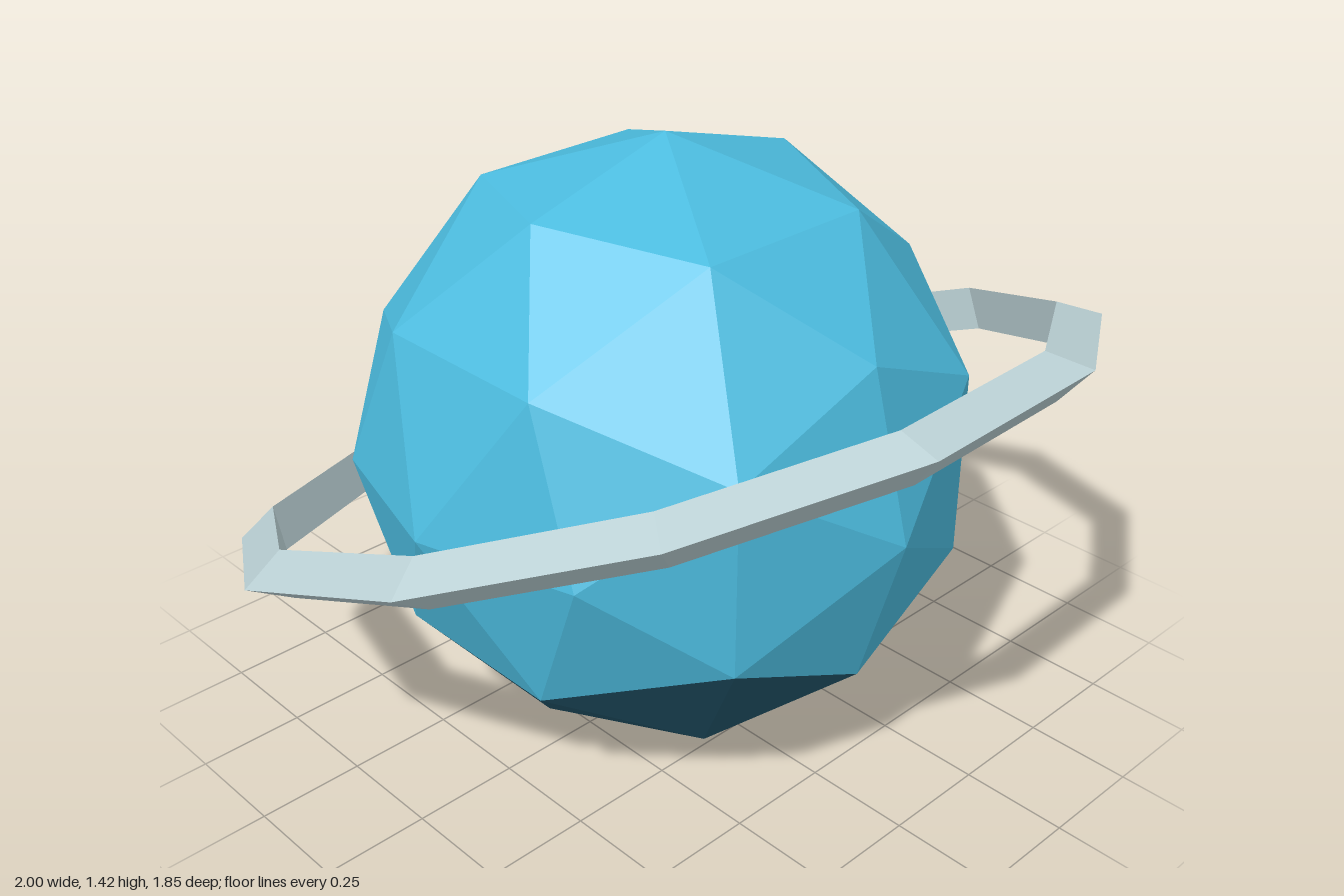
import * as THREE from 'three';

const RADIUS = 0.71;

function flat(geometry) {
  const g = geometry.index ? geometry.toNonIndexed() : geometry;
  g.computeVertexNormals();
  return g;
}

// Keeps only the triangles whose centre height passes the test
function pickFaces(geometry, test) {
  const p = geometry.attributes.position.array;
  const kept = [];
  for (let i = 0; i < p.length; i += 9) {
    if (test((p[i + 1] + p[i + 4] + p[i + 7]) / 3)) kept.push(...p.slice(i, i + 9));
  }
  const g = new THREE.BufferGeometry();
  g.setAttribute('position', new THREE.Float32BufferAttribute(kept, 3));
  return flat(g);
}

export function createModel() {
  const surfaceBlue = new THREE.MeshStandardMaterial({ name: 'surfaceBlue', color: 0x4cbcdf });
  const southBlue = new THREE.MeshStandardMaterial({ name: 'southBlue', color: 0x22566c });
  const ringGrey = new THREE.MeshStandardMaterial({ name: 'ringGrey', color: 0xbcd2d6 });

  const model = new THREE.Group();
  model.name = 'ringedPlanet';

  const add = (name, geometry, material) => {
    const mesh = new THREE.Mesh(geometry, material);
    mesh.name = name;
    mesh.position.y = RADIUS;
    model.add(mesh);
    return mesh;
  };

  // Faceted globe, with a dark cap over the south
  const globe = new THREE.IcosahedronGeometry(RADIUS, 1);
  const capLine = -0.46 * RADIUS;
  add('globe', pickFaces(globe, (y) => y >= capLine), surfaceBlue);
  add('southCap', pickFaces(globe, (y) => y < capLine), southBlue);

  // Twelve-sided ring of triangular section, raised at the front
  const ring = new THREE.TorusGeometry(0.96, 0.062, 3, 12);
  ring.rotateZ(THREE.MathUtils.degToRad(12));
  ring.rotateX(Math.PI / 2);
  add('ring', flat(ring), ringGrey).rotation.x = THREE.MathUtils.degToRad(-22);

  return model;
}
